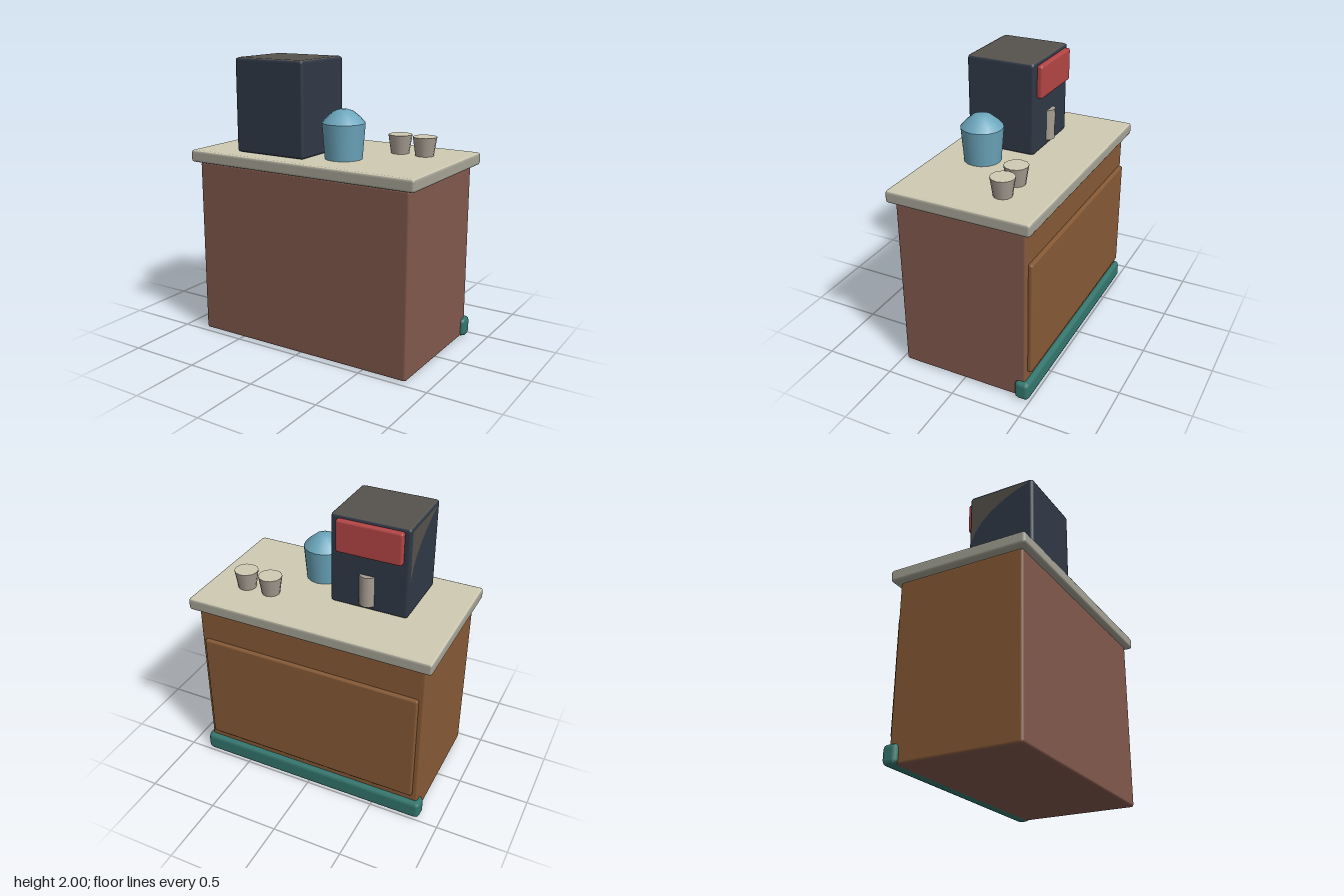
import * as THREE from 'three';
import { RoundedBoxGeometry } from 'three/addons/geometries/RoundedBoxGeometry.js';

const paint = (name, color) => {
  const m = new THREE.MeshStandardMaterial({ color });
  m.name = name;
  return m;
};

export function createModel() {
  const redwood = paint('reddish wood', 0x82594d);
  const oak = paint('orange wood', 0x875a36);
  const stone = paint('pale stone top', 0xcfcab2);
  const stoneEdge = paint('grey stone edge', 0xa6a496);
  const navy = paint('dark navy casing', 0x303947);
  const charcoal = paint('warm charcoal', 0x56524c);
  const red = paint('red panel', 0xb54545);
  const teal = paint('teal rail', 0x34776f);
  const blue = paint('blue glaze', 0x6ba5bb);
  const clay = paint('grey ceramic', 0xa89f94);

  const model = new THREE.Group();
  model.name = 'coffeeCounter';

  const add = (name, geometry, material, x = 0, y = 0, z = 0) => {
    const mesh = new THREE.Mesh(geometry, material);
    mesh.name = name;
    mesh.position.set(x, y, z);
    model.add(mesh);
    return mesh;
  };

  // Chamfered box given by its limits; a material array colours +x -x +y -y +z -z
  const block = (name, [x0, x1], [y0, y1], [z0, z1], bevel, material) =>
    add(name, new RoundedBoxGeometry(x1 - x0, y1 - y0, z1 - z0, 1, bevel), material,
      (x0 + x1) / 2, (y0 + y1) / 2, (z0 + z1) / 2);

  // Cabinet, worktop, rear door panel and foot rail
  block('cabinet', [-0.83, 0.83], [0.005, 1.265], [-0.46, 0.465], 0.018,
    [redwood, oak, redwood, redwood, redwood, oak]);
  block('worktop', [-0.88, 0.88], [1.263, 1.35], [-0.51, 0.507], 0.02,
    [stoneEdge, stoneEdge, stone, stoneEdge, stoneEdge, stoneEdge]);
  block('doorPanel', [-0.795, 0.795], [0.195, 1.025], [-0.49, -0.45], 0.015, oak);
  block('footRail', [-0.86, 0.86], [0, 0.14], [-0.495, -0.385], 0.034, teal);

  // Coffee machine with control panel and spout on its rear face
  block('machine', [-0.555, 0], [1.35, 2], [-0.11, 0.39], 0.022,
    [navy, navy, charcoal, navy, navy, navy]);
  block('controlPanel', [-0.515, -0.05], [1.75, 1.98], [-0.15, -0.1], 0.018, red);
  add('spout', new THREE.CylinderGeometry(0.06, 0.06, 0.22, 12), clay, -0.265, 1.5, -0.088);

  // Curved corner patch on the machine's side
  const patch = new THREE.Shape();
  patch.moveTo(-0.09, 1.62);
  patch.quadraticCurveTo(-0.02, 1.85, 0.36, 1.975);
  patch.lineTo(-0.09, 1.975);
  const patchMesh = add('sidePatch', new THREE.ShapeGeometry(patch, 6), charcoal, -0.557);
  patchMesh.rotation.y = -Math.PI / 2;

  // Domed jar: flared body with a rounded lid
  const profile = (points) => points.map(([r, y]) => new THREE.Vector2(r, y));
  add('jarBody', new THREE.LatheGeometry(profile([[0.128, 0], [0.147, 0.24]]), 16),
    blue, 0.185, 1.35, 0.18);
  add('jarDome', new THREE.LatheGeometry(profile(
    [[0.147, 0.24], [0.113, 0.278], [0.065, 0.317], [0.03, 0.329], [0, 0.33]]), 16),
    blue, 0.185, 1.35, 0.18);

  // Two tapered cups with pale tops
  [0.415, 0.602].forEach((x, i) => add(`cup${i + 1}`,
    new THREE.CylinderGeometry(0.083, 0.063, 0.13, 12), [clay, stone, clay], x, 1.415, -0.19));

  return model;
}
